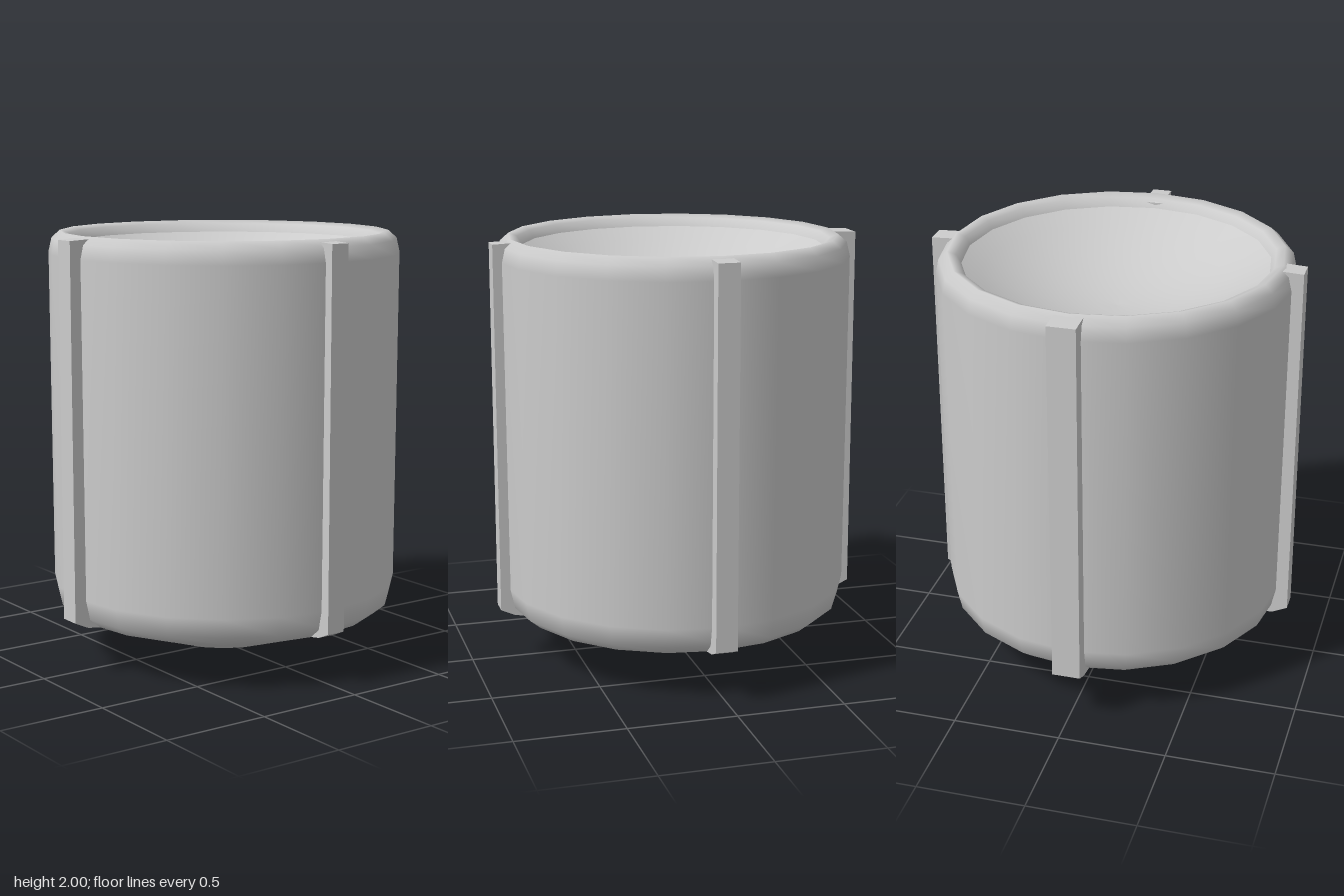
import * as THREE from 'three';

const material = new THREE.MeshStandardMaterial({ color: 0xcccccc });
const SIDES = 20;

function lathe(name, profile) {
  const points = profile.map(([r, y]) => new THREE.Vector2(r, y));
  const mesh = new THREE.Mesh(new THREE.LatheGeometry(points, SIDES), material);
  mesh.name = name;
  mesh.position.x = 0.01;
  return mesh;
}

// Upright rib whose lower end follows the slope of the pointed base
function rib(name, angle, width, reach, shift) {
  const shape = new THREE.Shape([
    [0.72, 0.212], [0.8, 0.225], [reach, 0.255], [reach, 1.985], [0.76, 1.99], [0.72, 1.97],
  ].map(([r, y]) => new THREE.Vector2(r, y)));
  const geometry = new THREE.ExtrudeGeometry(shape, { depth: width, bevelEnabled: false });
  geometry.translate(0, 0, -width / 2);
  const mesh = new THREE.Mesh(geometry, material);
  mesh.name = name;
  mesh.rotation.y = angle;
  mesh.position.x = shift;
  return mesh;
}

export function createModel() {
  const group = new THREE.Group();
  group.name = 'ribbedCup';

  // Pointed base, straight wall and rounded rim
  group.add(lathe('body', [
    [0, 0.005], [0.13, 0.02], [0.3, 0.065], [0.45, 0.117], [0.6, 0.17], [0.74, 0.215],
    [0.795, 0.26], [0.815, 0.35], [0.82, 1.9], [0.805, 1.965], [0.765, 2],
    [0.725, 1.985], [0.703, 1.945],
  ]));

  // Shallow concave top
  const dish = [];
  for (let i = 0; i <= 8; i++) {
    const t = 1 - i / 8;
    dish.push([0.703 * t, 1.725 + 0.22 * t * t]);
  }
  group.add(lathe('dish', dish));

  // Four ribs around the wall
  group.add(
    rib('leftRib', 0, 0.09, 0.865, 0),
    rib('backRib', Math.PI / 2, 0.1, 0.87, 0.01),
    rib('rightRib', Math.PI, 0.13, 0.87, 0),
    rib('frontRib', -Math.PI / 2, 0.1, 0.865, 0.01),
  );
  return group;
}
